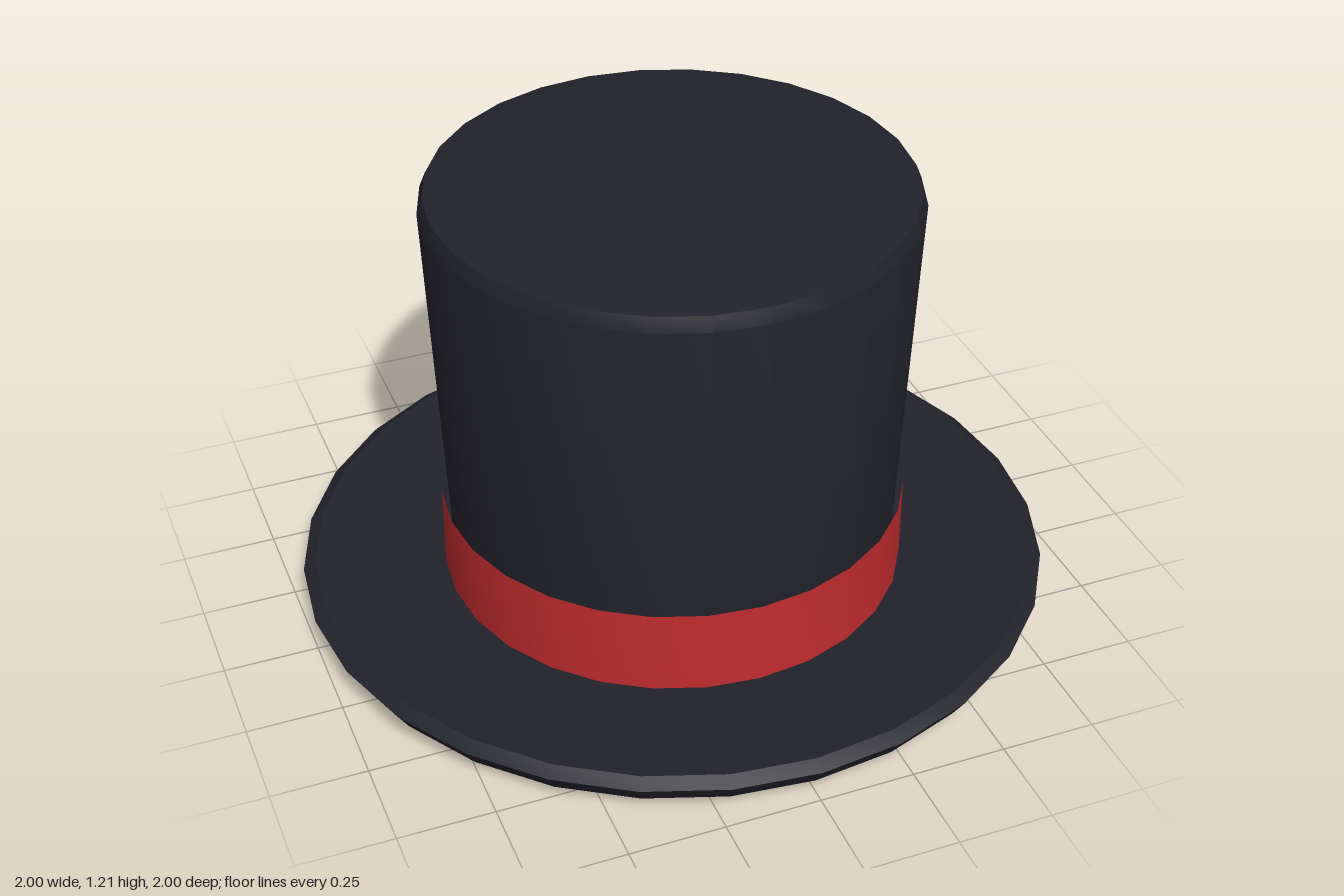
import * as THREE from 'three';
import { toCreasedNormals } from 'three/addons/utils/BufferGeometryUtils.js';

const SIDES = 28;

function material(name, color) {
  const m = new THREE.MeshStandardMaterial({ color });
  m.name = name;
  return m;
}

// Round part from a [radius, height] profile, bottom to top
function turned(name, profile, mat) {
  const points = profile.map(([r, y]) => new THREE.Vector2(r, y));
  const geometry = toCreasedNormals(new THREE.LatheGeometry(points, SIDES), 0.45);
  const mesh = new THREE.Mesh(geometry, mat);
  mesh.name = name;
  return mesh;
}

export function createModel() {
  const felt = material('blackFelt', 0x22222c);
  const ribbon = material('redRibbon', 0xc22c2e);
  const hat = new THREE.Group();
  hat.name = 'topHat';

  // Brim: shallow dish, turned up slightly towards a bevelled rim
  hat.add(turned('brim', [
    [0, 0], [0.58, 0], [0.78, 0.011], [0.965, 0.035],
    [1, 0.09], [0.967, 0.11], [0.8, 0.092], [0.58, 0.08],
  ], felt));

  // Crown: flares upwards, with a bevelled top edge
  hat.add(turned('crown', [
    [0.59, 0.07], [0.6, 0.32], [0.635, 1.16],
    [0.62, 1.197], [0.54, 1.21], [0, 1.21],
  ], felt));

  // Ribbon band around the foot of the crown
  hat.add(turned('band', [[0.618, 0.08], [0.618, 0.315]], ribbon));

  return hat;
}
